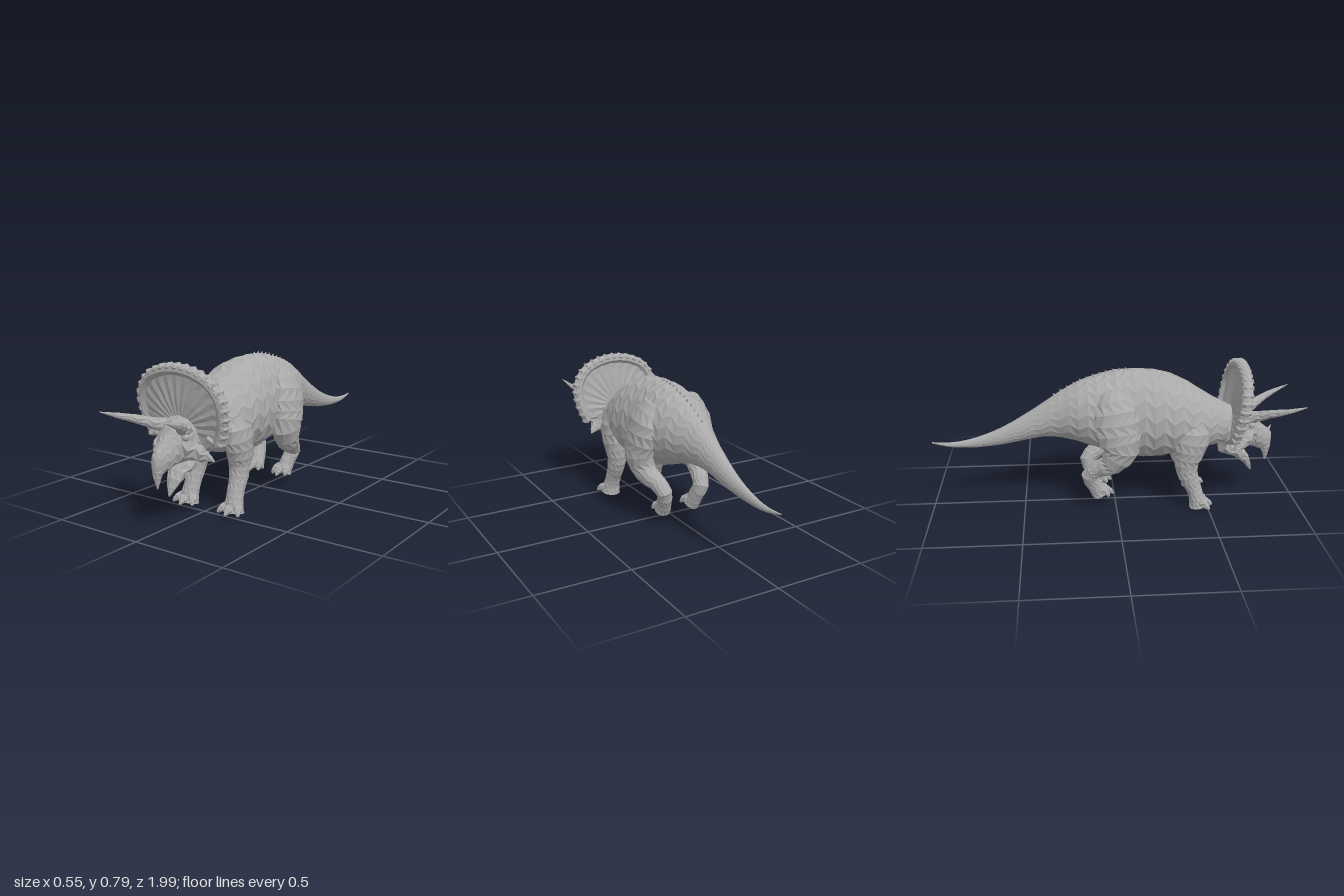
import * as THREE from 'three';

const hide = new THREE.MeshStandardMaterial({ color: 0xaaaaaa, flatShading: true });
hide.name = 'grey hide';

// Closed skin through rings [x, y, z, halfWidth, halfDepth], smoothed between them.
// A fixed direction keeps all rings parallel; otherwise they follow the path.
function loft(rings, { sides = 12, steps = 2, dir = null, egg = 0 } = {}) {
  const path = new THREE.CatmullRomCurve3(rings.map(r => new THREE.Vector3(r[0], r[1], r[2])), false, 'catmullrom', 0.5);
  const size = new THREE.CatmullRomCurve3(rings.map(r => new THREE.Vector3(r[3], r[4], 0)), false, 'catmullrom', 0.5);
  const rows = (rings.length - 1) * steps;
  const pos = [], index = [];
  for (let i = 0; i <= rows; i++) {
    const p = path.getPoint(i / rows), s = size.getPoint(i / rows);
    const t = dir ? dir.clone() : path.getTangent(i / rows);
    const u = new THREE.Vector3(1, 0, 0).addScaledVector(t, -t.x).normalize();
    const v = t.clone().cross(u);
    for (let j = 0; j < sides; j++) {
      const a = ((j + (i % 2) * 0.5) / sides) * Math.PI * 2;
      const w = Math.max(s.x, 0.002) * Math.cos(a) * (1 + egg * Math.sin(a));
      const q = p.clone().addScaledVector(u, w).addScaledVector(v, Math.max(s.y, 0.002) * Math.sin(a));
      pos.push(q.x, q.y, q.z);
    }
  }
  for (let i = 0; i < rows; i++) for (let j = 0; j < sides; j++) {
    const k = (j + 1) % sides, a = i * sides + j, b = i * sides + k, c = a + sides, d = b + sides;
    if (i % 2) index.push(a, b, c, b, d, c); // alternate the diagonal for natural facets
    else index.push(a, b, d, a, d, c);
  }
  const end = rows * sides;
  for (let j = 1; j < sides - 1; j++) index.push(0, j + 1, j, end, end + j, end + j + 1);
  const g = new THREE.BufferGeometry();
  g.setAttribute('position', new THREE.Float32BufferAttribute(pos, 3));
  g.setIndex(index);
  g.computeVertexNormals();
  return g;
}

export function createModel() {
  const model = new THREE.Group();
  const add = (name, geometry, parent = model) => {
    const m = new THREE.Mesh(geometry, hide);
    m.name = name;
    parent.add(m);
    return m;
  };
  const back = new THREE.Vector3(0, 0, -1);
  // Mirrors the x of ring lists for the right side
  const flip = (rings, s) => rings.map(r => [r[0] * s, ...r.slice(1)]);

  // Neck, trunk and tail: [z, bottom, top, half width]
  const trunk = [
    [0.66, 0.34, 0.52, 0.08], [0.58, 0.32, 0.56, 0.105], [0.5, 0.31, 0.605, 0.15], [0.4, 0.285, 0.67, 0.185],
    [0.3, 0.27, 0.72, 0.198], [0.2, 0.257, 0.745, 0.195], [0.1, 0.265, 0.75, 0.185], [0, 0.285, 0.745, 0.185],
    [-0.1, 0.32, 0.72, 0.178], [-0.2, 0.355, 0.685, 0.145], [-0.3, 0.378, 0.63, 0.097], [-0.4, 0.38, 0.563, 0.067],
    [-0.5, 0.362, 0.5, 0.05], [-0.6, 0.342, 0.443, 0.037], [-0.7, 0.33, 0.4, 0.026], [-0.8, 0.325, 0.37, 0.018],
    [-0.9, 0.332, 0.357, 0.011], [-0.99, 0.355, 0.362, 0.003]];
  add('bodyAndTail', loft(trunk.map(([z, b, t, w]) => [0, (b + t) / 2, z, w, (t - b) / 2]),
    { sides: 18, dir: back, egg: 0.1 }));

  // Small scutes along the spine
  for (let i = 0; i < 12; i++) {
    const z = 0.06 - i * 0.035;
    const k = trunk.findIndex(r => r[0] <= z), a = trunk[k - 1], b = trunk[k];
    const y = a[2] + (b[2] - a[2]) * (a[0] - z) / (a[0] - b[0]);
    const scute = add('spineScute', new THREE.ConeGeometry(0.012, 0.024, 4));
    scute.scale.x = 0.5;
    scute.rotation.x = -0.6;
    scute.position.set(0, y + 0.003, z);
  }

  // Skull: [z, bottom, top, half width]
  const skull = [[0.6, 0.3, 0.53, 0.11], [0.68, 0.3, 0.535, 0.115], [0.735, 0.3, 0.515, 0.09],
    [0.78, 0.285, 0.455, 0.064], [0.82, 0.27, 0.415, 0.044], [0.855, 0.27, 0.39, 0.025], [0.868, 0.3, 0.37, 0.01]];
  add('skull', loft(skull.reverse().map(([z, b, t, w]) => [0, (b + t) / 2, z, w, (t - b) / 2]), { dir: back }));
  add('upperBeak', loft([[0, 0.37, 0.81, 0.035, 0.04], [0, 0.31, 0.833, 0.033, 0.036],
    [0, 0.26, 0.843, 0.02, 0.02], [0, 0.205, 0.843, 0.003, 0.004]], { sides: 8 }));
  add('lowerJaw', loft([[0, 0.31, 0.6, 0.085, 0.05], [0, 0.275, 0.67, 0.066, 0.04],
    [0, 0.22, 0.727, 0.042, 0.027], [0, 0.147, 0.765, 0.003, 0.005]], { sides: 8 }));
  const nose = add('noseHorn', new THREE.ConeGeometry(0.024, 0.07, 6));
  nose.position.set(0, 0.385, 0.85);
  nose.rotation.x = 0.5;

  // Frill rim, mirrored from one half
  const half = [[0.2, 0.415, 0.632], [0.225, 0.47, 0.638], [0.24, 0.535, 0.65], [0.241, 0.6, 0.662],
    [0.218, 0.655, 0.67], [0.178, 0.7, 0.677], [0.125, 0.727, 0.681], [0.065, 0.744, 0.683]];
  const arc = [...flip(half, -1), [0, 0.75, 0.684], ...half.slice().reverse()];
  const rim = new THREE.CatmullRomCurve3(arc.map(p => new THREE.Vector3(...p)));
  const frill = new THREE.Group();
  frill.name = 'frill';
  model.add(frill);
  add('frillRim', new THREE.TubeGeometry(rim, 44, 0.03, 7), frill);

  // Frill plate: a thin dish drawn from the back centre, round the edge, to the front centre
  const outline = [...rim.getSpacedPoints(30), new THREE.Vector3(0.14, 0.38, 0.63),
    new THREE.Vector3(0.07, 0.33, 0.63), new THREE.Vector3(-0.07, 0.33, 0.63), new THREE.Vector3(-0.14, 0.38, 0.63)];
  const rows = [[0.02, -0.015], [0.5, -0.018], [0.8, -0.014], [1, -0.012], [1, 0.012], [0.8, 0.016], [0.5, 0.028], [0.02, 0.04]];
  const n = outline.length, pos = [], index = [];
  rows.forEach(([s, off], i) => outline.forEach((p, j) => {
    const ripple = s > 0.4 && s < 0.9 ? 0.005 * (j % 2) : 0;
    pos.push(p.x * s, 0.47 + (p.y - 0.47) * s, 0.64 + (p.z - 0.64) * s + off + ripple);
    if (i < rows.length - 1) {
      const k = (j + 1) % n, a = i * n + j, b = i * n + k;
      index.push(a, a + n, b, b, a + n, b + n);
    }
  }));
  // Outline runs clockwise seen from the front, so rows wind outward this way
  const plate = new THREE.BufferGeometry();
  plate.setAttribute('position', new THREE.Float32BufferAttribute(pos, 3));
  plate.setIndex(index);
  plate.computeVertexNormals();
  add('frillPlate', plate, frill);

  // Bony knobs round the rim
  rim.getSpacedPoints(24).forEach((p, i) => {
    const knob = add('frillKnob', new THREE.IcosahedronGeometry(0.025, 0), frill);
    const out = new THREE.Vector2(p.x, p.y - 0.53).normalize();
    knob.position.set(p.x + out.x * 0.012, p.y + out.y * 0.012, p.z);
    knob.rotation.z = Math.atan2(out.y, out.x);
    knob.scale.set(1, 0.85, 1.5);
  });

  for (const s of [1, -1]) {
    const side = s > 0 ? 'left' : 'right';
    const part = (name, rings, opt) => add(side + name, loft(flip(rings, s), opt));

    // Head details
    part('BrowHorn', [[0.06, 0.475, 0.71, 0.042, 0.04], [0.088, 0.495, 0.765, 0.03, 0.03], [0.13, 0.522, 0.83, 0.022, 0.022],
      [0.172, 0.548, 0.91, 0.014, 0.014], [0.198, 0.578, 1.0, 0.002, 0.002]], { sides: 8 });
    part('CheekHorn', [[0.05, 0.39, 0.72, 0.06, 0.055], [0.1, 0.37, 0.69, 0.05, 0.048],
      [0.14, 0.345, 0.66, 0.03, 0.028], [0.178, 0.318, 0.635, 0.003, 0.003]], { sides: 7 });
    part('FrillSpur', [[0.15, 0.43, 0.64, 0.03, 0.03], [0.195, 0.415, 0.635, 0.022, 0.022],
      [0.232, 0.4, 0.63, 0.003, 0.003]], { sides: 6, steps: 1 });
    const eye = add(side + 'Eye', new THREE.IcosahedronGeometry(0.02, 1));
    eye.position.set(s * 0.085, 0.445, 0.735);

    // Front leg
    part('FrontLeg', [[0.12, 0.52, 0.4, 0.03, 0.04], [0.14, 0.43, 0.405, 0.062, 0.095], [0.143, 0.33, 0.39, 0.062, 0.085],
      [0.135, 0.25, 0.378, 0.056, 0.066], [0.137, 0.18, 0.39, 0.049, 0.054], [0.139, 0.11, 0.42, 0.045, 0.043],
      [0.143, 0.05, 0.44, 0.05, 0.042], [0.146, 0.003, 0.448, 0.056, 0.05]]);
    // Hind leg
    part('HindLeg', [[0.12, 0.66, -0.03, 0.04, 0.06], [0.158, 0.56, -0.01, 0.066, 0.115], [0.172, 0.45, 0.005, 0.074, 0.12],
      [0.178, 0.36, 0.018, 0.07, 0.1], [0.16, 0.275, -0.03, 0.058, 0.066], [0.132, 0.235, -0.1, 0.047, 0.048],
      [0.115, 0.19, -0.145, 0.043, 0.046], [0.1, 0.13, -0.118, 0.038, 0.045], [0.092, 0.068, -0.085, 0.044, 0.046]]);

    // Splayed toes, three to each foot
    for (const [name, x, y, z, drop] of [['FrontToe', 0.146, 0.027, 0.455, 0.02], ['HindToe', 0.09, 0.092, -0.085, 0.024]])
      for (const t of [-1, 0, 1]) {
        const reach = t ? 0.045 : 0.07, dx = t * (name === 'FrontToe' ? 0.064 : 0.042);
        part(name, [[x + dx * 0.35, y + 0.012, z - 0.01, 0.024, 0.026], [x + dx * 0.75, y, z + reach * 0.55, 0.021, 0.022],
          [x + dx, y - drop, z + reach, 0.006, 0.006]], { sides: 7 });
      }
  }
  return model;
}
